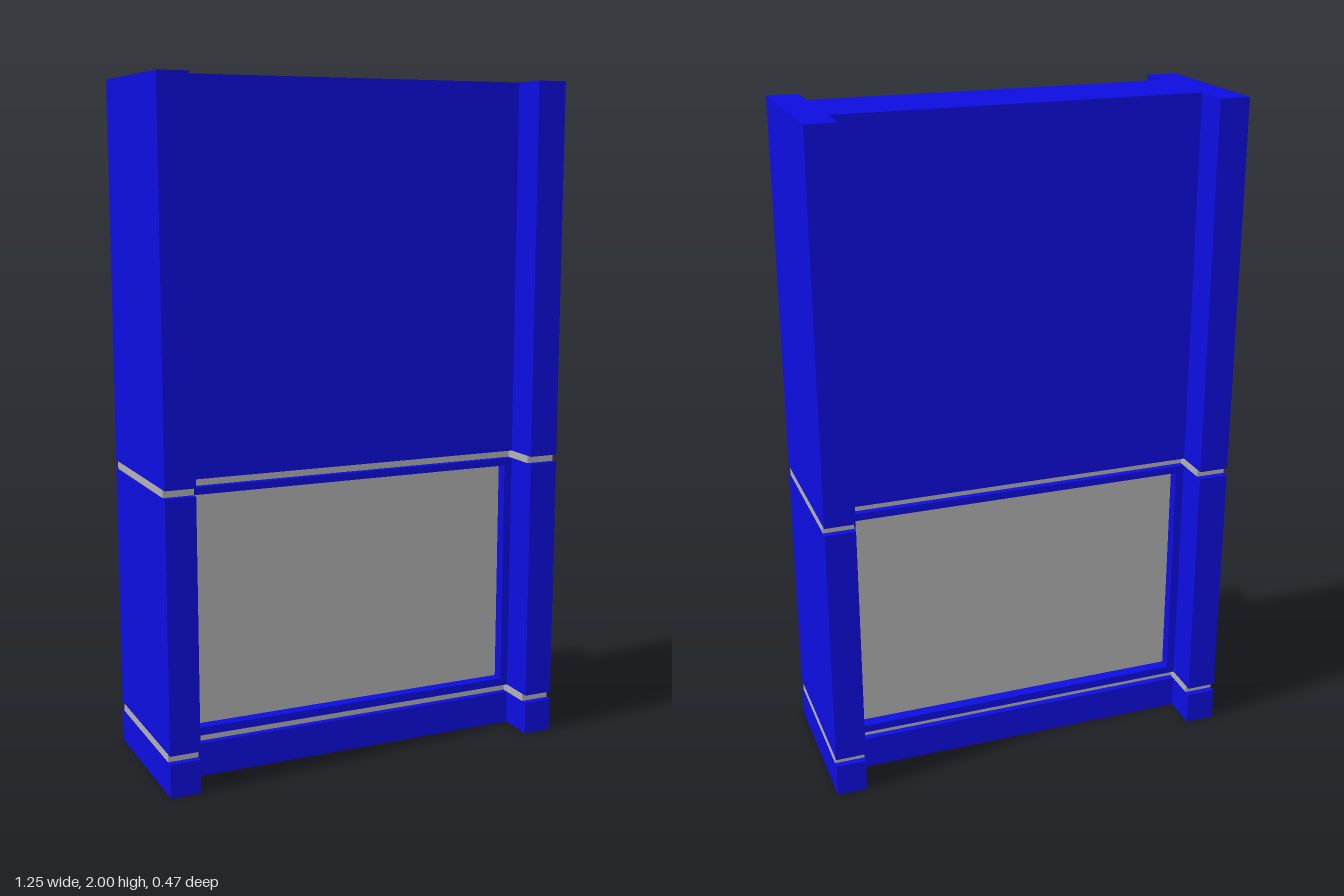
import * as THREE from 'three';

const BLUE = new THREE.MeshStandardMaterial({ color: 0x0d0de0 });
const GREY = new THREE.MeshStandardMaterial({ color: 0xb2b2b2 });
const HALF_W = 0.625, HALF_D = 0.237, POST_X = 0.535, WALL_Z = 0.125;

// H-shaped plan (two posts joined by a wall), with its depth reduced by inset
function planShape(inset) {
  const d = HALF_D - inset, w = WALL_Z - inset;
  const half = [[POST_X, -w], [POST_X, -d], [HALF_W, -d], [HALF_W, d], [POST_X, d], [POST_X, w]];
  const points = [...half, ...half.map(([x, z]) => [-x, -z])];
  return new THREE.Shape(points.map(([x, z]) => new THREE.Vector2(x, z)));
}

// One horizontal layer of the wall between two heights
function layer(name, y0, y1, inset, material) {
  const geometry = new THREE.ExtrudeGeometry(planShape(inset), { depth: y1 - y0, bevelEnabled: false });
  geometry.rotateX(-Math.PI / 2);
  const mesh = new THREE.Mesh(geometry, material);
  mesh.name = name;
  mesh.position.y = y0;
  return mesh;
}

function box(name, w, h, d, x, y, z, material) {
  const mesh = new THREE.Mesh(new THREE.BoxGeometry(w, h, d), material);
  mesh.name = name;
  mesh.position.set(x, y, z);
  return mesh;
}

export function createModel() {
  const model = new THREE.Group();
  model.name = 'wallSection';

  // Solid layers with recessed grey joints between them
  model.add(
    layer('base', 0, 0.1, 0, BLUE),
    layer('lowerJoint', 0.1, 0.124, 0.02, GREY),
    layer('upperJoint', 0.862, 0.885, 0.02, GREY),
    layer('upperWall', 0.885, 2, 0, BLUE)
  );

  // Posts beside the panel
  const y0 = 0.124, y1 = 0.862, midY = (y0 + y1) / 2;
  for (const side of [-1, 1]) {
    model.add(box(side > 0 ? 'leftPost' : 'rightPost', HALF_W - POST_X, y1 - y0, HALF_D * 2,
      side * (HALF_W + POST_X) / 2, midY, 0, BLUE));
  }

  // Frame with a rectangular opening through the wall
  const outline = new THREE.Shape([[-POST_X, y0], [POST_X, y0], [POST_X, y1], [-POST_X, y1]]
    .map(([x, y]) => new THREE.Vector2(x, y)));
  outline.holes.push(new THREE.Path([[-0.51, 0.148], [-0.51, 0.84], [0.51, 0.84], [0.51, 0.148]]
    .map(([x, y]) => new THREE.Vector2(x, y))));
  const frameGeometry = new THREE.ExtrudeGeometry(outline, { depth: WALL_Z * 2, bevelEnabled: false });
  frameGeometry.translate(0, 0, -WALL_Z);
  const frame = new THREE.Mesh(frameGeometry, BLUE);
  frame.name = 'panelFrame';
  model.add(frame);

  // Grey panel set back in the opening on both faces
  model.add(box('panel', 1.02, 0.692, 0.18, 0, 0.494, 0, GREY));

  return model;
}
